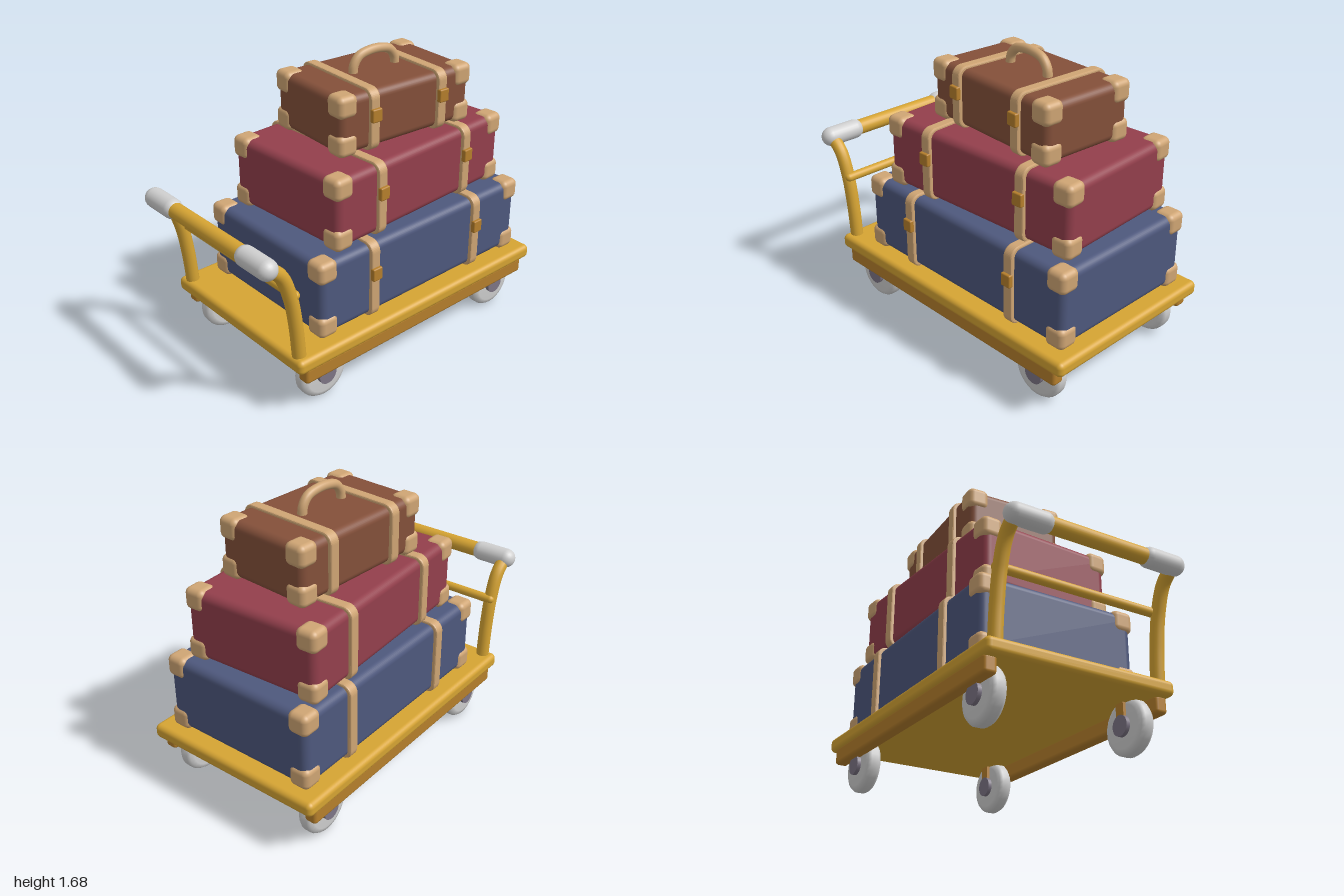
import * as THREE from 'three';
import { RoundedBoxGeometry } from 'three/addons/geometries/RoundedBoxGeometry.js';

const mat = (name, color) => {
  const m = new THREE.MeshStandardMaterial({ color });
  m.name = name;
  return m;
};

export function createModel() {
  const yellow = mat('yellow paint', 0xd6a433);
  const ochre = mat('ochre metal', 0xb67f2c);
  const grey = mat('light grey rubber', 0xcfcfcf);
  const hubGrey = mat('hub grey', 0x7d7585);
  const tan = mat('tan leather', 0xcfa574);
  const blue = mat('blue case', 0x4e587d);
  const red = mat('red case', 0x933f4c);
  const brown = mat('brown case', 0x84503a);

  const model = new THREE.Group();
  model.name = 'luggageTrolley';

  const add = (parent, name, geometry, material, x = 0, y = 0, z = 0) => {
    const mesh = new THREE.Mesh(geometry, material);
    mesh.name = name;
    mesh.position.set(x, y, z);
    parent.add(mesh);
    return mesh;
  };
  const rbox = (w, h, d, r) => new RoundedBoxGeometry(w, h, d, 4, r);
  const tube = (points, r) => new THREE.TubeGeometry(
    new THREE.CatmullRomCurve3(points.map(p => new THREE.Vector3(...p))), 32, r, 16);
  const rodZ = (r, len) => new THREE.CylinderGeometry(r, r, len, 24).rotateX(Math.PI / 2);

  // Platform with a rail under each long edge
  add(model, 'deck', rbox(1.81, 0.085, 1.12, 0.03), yellow, 0.095, 0.32, 0);
  for (const s of [1, -1]) {
    add(model, 'rail', rbox(1.7, 0.1, 0.075, 0.02), ochre, 0.093, 0.243, s * 0.507);
  }

  // Wheels: rounded tyre, hub and fork
  const tyreProfile = [[0, -0.045], [0.115, -0.045], [0.138, -0.038], [0.15, -0.02],
    [0.15, 0.02], [0.138, 0.038], [0.115, 0.045], [0, 0.045]].map(p => new THREE.Vector2(...p));
  const tyre = new THREE.LatheGeometry(tyreProfile, 28).rotateX(Math.PI / 2);
  const hub = rodZ(0.057, 0.135);
  const fork = new THREE.BoxGeometry(0.06, 0.14, 0.125);
  for (const x of [-0.58, 0.76]) {
    for (const s of [1, -1]) {
      const wheel = new THREE.Group();
      wheel.name = 'wheel';
      wheel.position.set(x, 0.155, s * 0.437);
      add(wheel, 'tyre', tyre, grey).scale.set(1.02, 1.02, 1);
      add(wheel, 'hub', hub, hubGrey);
      add(wheel, 'fork', fork, ochre, 0, 0.07, 0);
      model.add(wheel);
    }
  }

  // Push handle: curved posts, grip bar and a thinner crossbar
  for (const s of [1, -1]) {
    const z = s * 0.487;
    add(model, 'handlePost', tube([[-0.757, 0.33, z], [-0.775, 0.55, z], [-0.805, 0.73, z],
      [-0.86, 0.875, z], [-0.943, 0.95, z]], 0.038), yellow);
    add(model, 'grip', new THREE.CapsuleGeometry(0.057, 0.165, 8, 24).rotateX(Math.PI / 2),
      grey, -0.943, 0.948, s * 0.41);
    add(model, 'crossbarEnd', new THREE.SphereGeometry(0.026, 16, 10), yellow, -0.782, 0.735, s * 0.495);
  }
  add(model, 'handleBar', rodZ(0.045, 0.9), yellow, -0.943, 0.948, 0);
  add(model, 'crossbar', rodZ(0.026, 0.99), yellow, -0.782, 0.735, 0);

  // Strap: a rounded rectangular band running round a case
  const strapGeometry = (h, d) => {
    const r = 0.05, bevel = 0.008;
    const a = d / 2 - bevel, b = h / 2 - bevel;
    const shape = new THREE.Shape();
    shape.moveTo(-a + r, -b);
    shape.lineTo(a - r, -b);
    shape.absarc(a - r, -b + r, r, -Math.PI / 2, 0);
    shape.lineTo(a, b - r);
    shape.absarc(a - r, b - r, r, 0, Math.PI / 2);
    shape.lineTo(-a + r, b);
    shape.absarc(-a + r, b - r, r, Math.PI / 2, Math.PI);
    shape.lineTo(-a, -b + r);
    shape.absarc(-a + r, -b + r, r, Math.PI, Math.PI * 1.5);
    const depth = 0.06 - 2 * bevel;
    return new THREE.ExtrudeGeometry(shape, { depth, bevelEnabled: true, bevelSize: bevel,
      bevelThickness: bevel, bevelSegments: 2, curveSegments: 6 })
      .translate(0, 0, -depth / 2).rotateY(Math.PI / 2);
  };

  // Suitcase: body, eight corner caps, two straps with front buckles
  const corner = rbox(0.125, 0.125, 0.125, 0.034);
  const suitcase = (name, material, w, h, d, x, y, z, turn) => {
    const g = new THREE.Group();
    g.name = name;
    g.position.set(x, y, z);
    g.rotation.y = turn;
    add(g, 'body', rbox(w, h, d, 0.045), material);
    const out = 0.01 - 0.0625;
    for (const sx of [1, -1]) {
      for (const sy of [1, -1]) {
        for (const sz of [1, -1]) {
          add(g, 'cornerCap', corner, tan,
            sx * (w / 2 + out), sy * (h / 2 + out), sz * (d / 2 + out));
        }
      }
      add(g, 'strap', strapGeometry(h + 0.03, d + 0.044), tan, sx * w * 0.26, 0, 0);
      add(g, 'buckle', rbox(0.064, 0.075, 0.03, 0.008), ochre,
        sx * w * 0.26, h * 0.11, d / 2 + 0.024);
    }
    model.add(g);
    return g;
  };
  suitcase('largeCase', blue, 1.515, 0.43, 0.945, 0.163, 0.587, 0, 0);
  suitcase('mediumCase', red, 1.3, 0.395, 0.815, 0.183, 1.015, -0.008, 0.05);
  const small = suitcase('smallCase', brown, 0.9, 0.32, 0.57, 0.203, 1.389, -0.006, -0.068);

  // Carrying handle on the top case
  add(small, 'carryHandle', tube([[-0.148, 0.14, 0], [-0.14, 0.2, 0], [-0.105, 0.245, 0],
    [-0.04, 0.263, 0], [0.04, 0.263, 0], [0.105, 0.245, 0], [0.14, 0.2, 0], [0.148, 0.14, 0]], 0.026), tan);

  return model;
}
